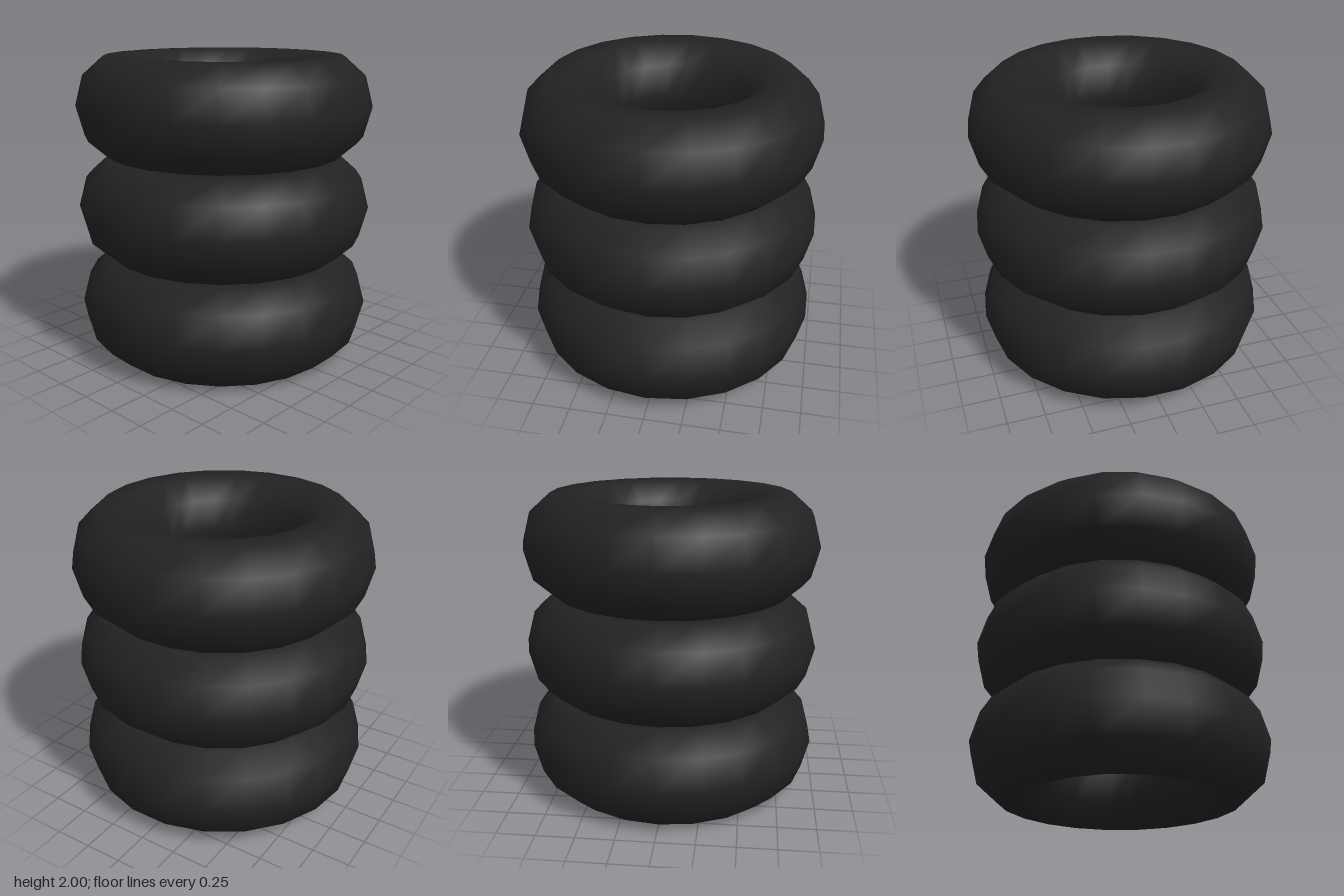
import * as THREE from 'three';

export function createModel() {
  const model = new THREE.Group();
  model.name = 'tyreStack';

  const rubber = new THREE.MeshStandardMaterial({ color: 0x222222 });
  rubber.name = 'black rubber';

  // One ring: ten-sided tube, 22 segments around, stretched in height
  const tyreGeometry = new THREE.TorusGeometry(0.708, 0.277, 10, 22);
  tyreGeometry.rotateX(Math.PI / 2);
  tyreGeometry.scale(1, 1.222, 1);

  // Three equal tyres stacked with a narrow gap
  ['bottomTyre', 'middleTyre', 'topTyre'].forEach((name, i) => {
    const tyre = new THREE.Mesh(tyreGeometry, rubber);
    tyre.name = name;
    tyre.position.y = 0.322 + i * 0.678;
    model.add(tyre);
  });

  return model;
}
